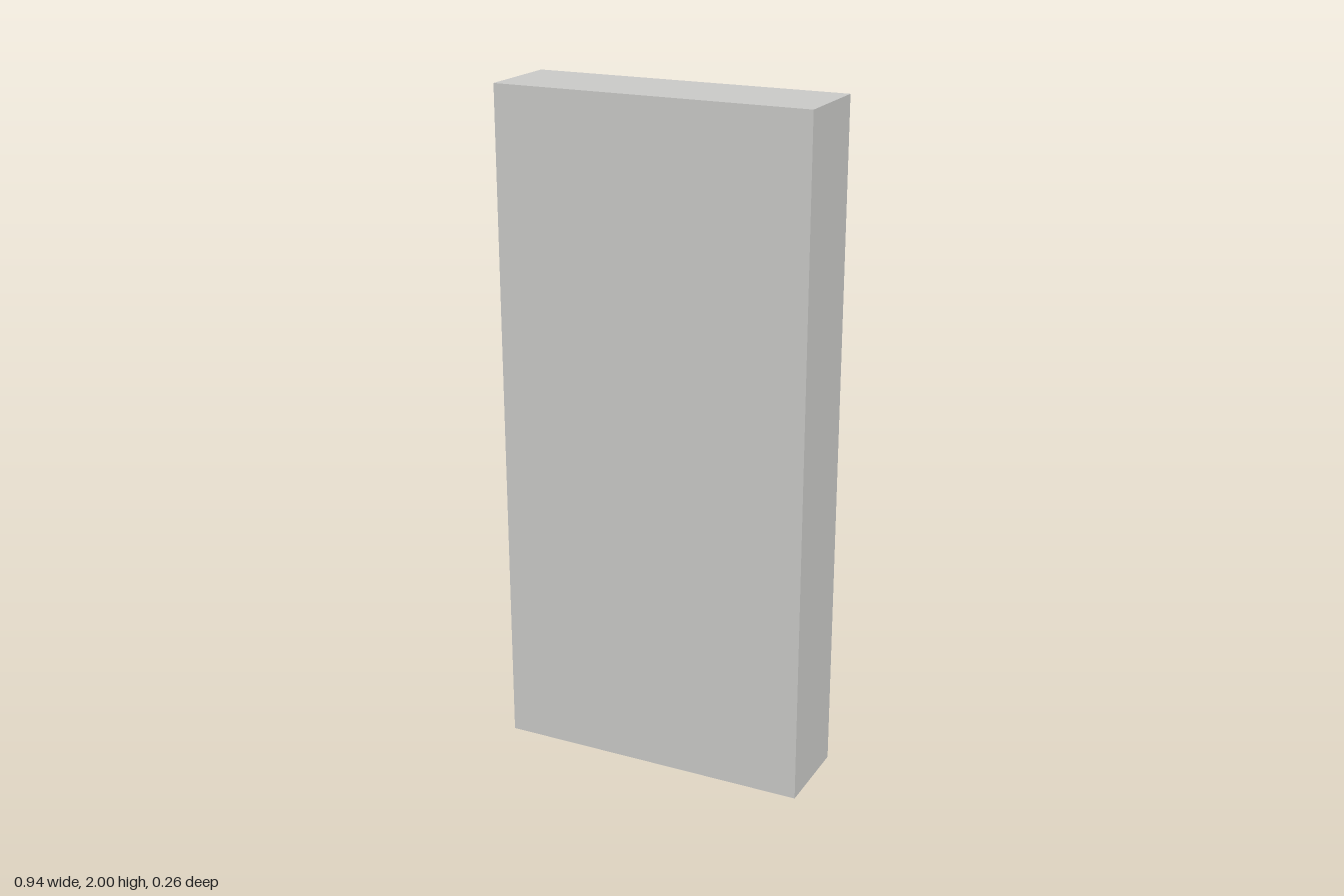
import * as THREE from 'three';

const W = 0.94, H = 2, D = 0.263; // overall size
const T = 0.021;                  // board thickness
const PANEL = 0.02;               // closing panel thickness
const COLS = 3, ROWS = 9;

export function createModel() {
  const group = new THREE.Group();
  group.name = 'pigeonholeShelf';
  const grey = new THREE.MeshStandardMaterial({ color: 0xc8c8c6 });
  grey.name = 'light grey';

  const board = (name, w, h, d, x, y, z) => {
    const mesh = new THREE.Mesh(new THREE.BoxGeometry(w, h, d), grey);
    mesh.name = name;
    mesh.position.set(x, y, z);
    group.add(mesh);
  };

  const depth = D - PANEL;
  const z = -PANEL / 2; // boards sit behind the closed front panel

  // closed panel on the front; compartments open to the back
  board('frontPanel', W, H, PANEL, 0, H / 2, D / 2 - PANEL / 2);

  // side walls and upright dividers
  const pitchX = (W - T) / COLS;
  for (let i = 0; i <= COLS; i++) {
    const outer = i === 0 || i === COLS;
    board(outer ? 'sideWall' : 'divider', T, H, depth, -W / 2 + T / 2 + i * pitchX, H / 2, z);
  }

  // bottom, shelves and top, fitted between the uprights
  const pitchY = (H - T) / ROWS;
  for (let r = 0; r <= ROWS; r++) {
    const name = r === 0 ? 'bottomBoard' : r === ROWS ? 'topBoard' : 'shelf';
    for (let c = 0; c < COLS; c++) {
      board(name, pitchX - T, T, depth, (c - (COLS - 1) / 2) * pitchX, T / 2 + r * pitchY, z);
    }
  }
  return group;
}
